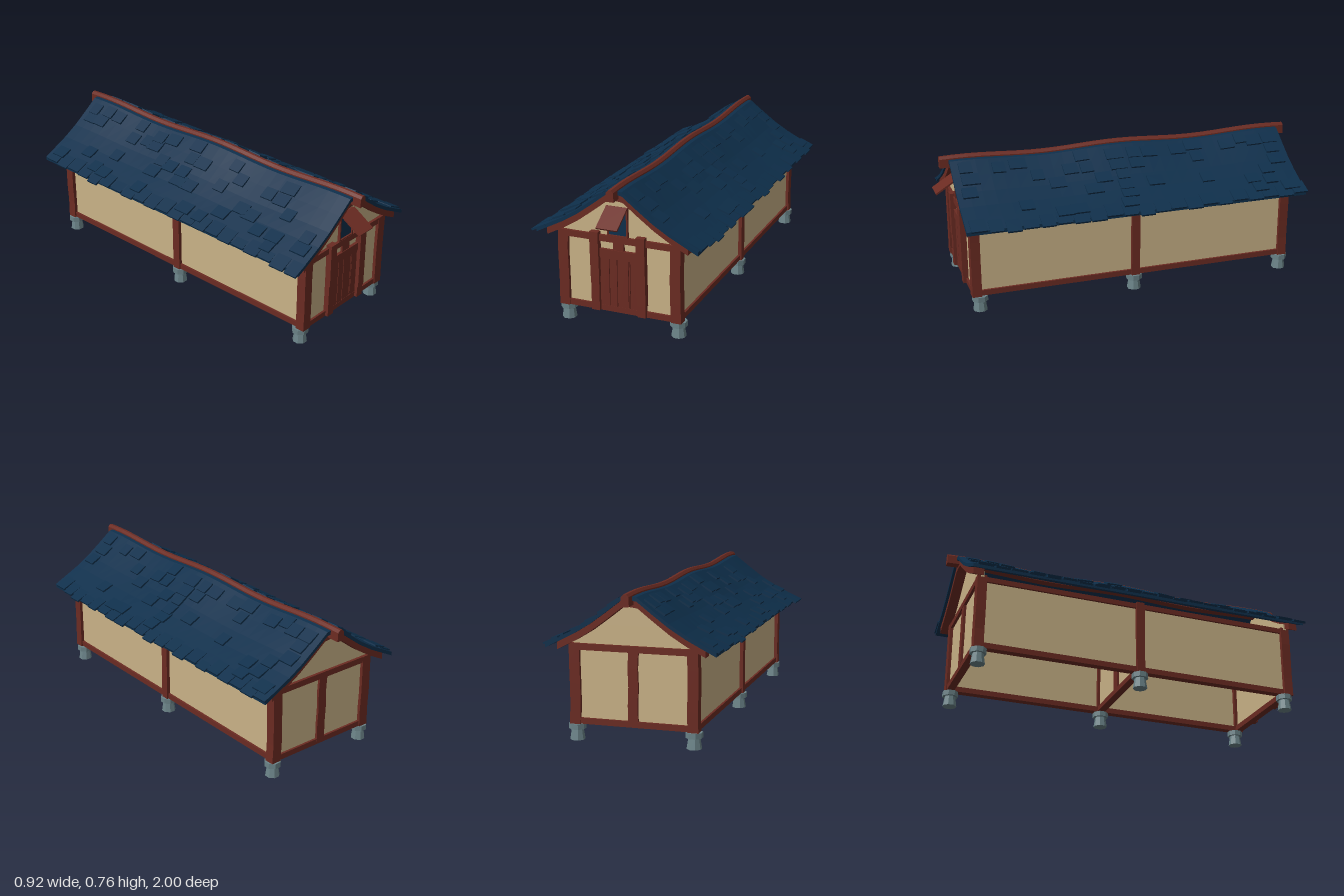
import * as THREE from 'three';
import { mergeGeometries } from 'three/addons/utils/BufferGeometryUtils.js';

const material = (name, color) => {
  const m = new THREE.MeshStandardMaterial({ color, flatShading: true });
  m.name = name;
  return m;
};

// Outer roof curve from ridge to eave, as [x, y]
const ROOF = [[0, 0.74], [0.04, 0.735], [0.12, 0.673], [0.2, 0.614], [0.28, 0.565], [0.35, 0.529], [0.435, 0.486]];
const sag = (z) => 0.008 * (1 - Math.cos((2 * Math.PI * z) / 0.85));

function roofAt(x) {
  let i = 0;
  while (i < ROOF.length - 2 && x > ROOF[i + 1][0]) i++;
  const [x0, y0] = ROOF[i], [x1, y1] = ROOF[i + 1];
  const slope = (y1 - y0) / (x1 - x0);
  return { y: y0 + slope * (x - x0), angle: Math.atan(slope) };
}

// Closed shape between two drops below the roof curve, mirrored over x = 0
function roofBand(top, bottom, reach) {
  const xs = ROOF.map((p) => p[0]).filter((x) => x < reach).concat(reach);
  const side = (drop) => xs.map((x) => new THREE.Vector2(x, roofAt(x).y - drop));
  const flip = (pts) => pts.slice(1).map((p) => new THREE.Vector2(-p.x, p.y));
  const upper = side(top), lower = side(bottom);
  return new THREE.Shape([...flip(upper).reverse(), ...upper, ...lower.reverse(), ...flip(side(bottom))]);
}

function extrude(shape, z0, z1, steps = 1) {
  const g = new THREE.ExtrudeGeometry(shape, { depth: z1 - z0, steps, bevelEnabled: false });
  return g.translate(0, 0, z0);
}

// Lets the ridge line dip gently along its length
function sagGeometry(g) {
  const p = g.attributes.position;
  for (let i = 0; i < p.count; i++) {
    const w = THREE.MathUtils.clamp((p.getY(i) - 0.49) / 0.24, 0, 1);
    p.setY(i, p.getY(i) - sag(p.getZ(i)) * w);
  }
  g.computeVertexNormals();
  return g;
}

export function createModel() {
  const model = new THREE.Group();
  model.name = 'timberHouse';
  const wood = material('redWood', 0x6b2b22);
  const plaster = material('plaster', 0xc9b287);
  const tile = material('blueTile', 0x0e2f4b);
  const stone = material('stone', 0x6a8287);

  let seed = 11;
  const random = () => ((seed = (seed * 16807) % 2147483647) / 2147483647);

  const add = (name, geometry, mat, parent = model) => {
    const m = new THREE.Mesh(geometry, mat);
    m.name = name;
    parent.add(m);
    return m;
  };
  // Box given by its limits on each axis
  const box = (name, mat, x0, x1, y0, y1, z0, z1) => {
    const m = add(name, new THREE.BoxGeometry(x1 - x0, y1 - y0, z1 - z0), mat);
    m.position.set((x0 + x1) / 2, (y0 + y1) / 2, (z0 + z1) / 2);
    return m;
  };
  // Roughly hewn upright post
  const post = (name, x, z, w, d, y0, y1) => {
    const g = new THREE.BoxGeometry(w, y1 - y0, d, 1, 4, 1);
    const p = g.attributes.position;
    const wobble = [0, 1, 2, 3, 4].map(() => (random() - 0.5) * 0.006);
    for (let i = 0; i < p.count; i++) {
      const row = Math.round((p.getY(i) / (y1 - y0) + 0.5) * 4);
      p.setX(i, p.getX(i) + wobble[row]);
    }
    g.computeVertexNormals();
    add(name, g, wood).position.set(x, (y0 + y1) / 2, z);
  };

  // Stone footings and the posts on them
  for (const sx of [-1, 1]) {
    for (const [pz, fz] of [[0.86, 0.842], [-0.008, -0.005], [-0.875, -0.87]]) {
      const footing = new THREE.Group();
      footing.name = 'footing';
      footing.position.set(sx * 0.301, 0, fz);
      model.add(footing);
      const base = add('footingBase', new THREE.CylinderGeometry(0.029, 0.038, 0.056, 8), stone, footing);
      base.position.y = 0.028;
      base.rotation.y = Math.PI / 8;
      const cap = add('footingCap', new THREE.CylinderGeometry(0.043, 0.043, 0.028, 8), stone, footing);
      cap.position.y = 0.069;
      cap.rotation.y = Math.PI / 8;
      post('post', sx * 0.301, pz, 0.054, pz === -0.008 ? 0.045 : 0.05, 0.083, 0.488);
    }
    // Long side walls with sill and wall plate
    const a = sx > 0 ? 1 : -1;
    const span = (n, m, i, o, y0, y1) =>
      box(n, m, Math.min(a * i, a * o), Math.max(a * i, a * o), y0, y1, -0.87, 0.85);
    span('sideWall', plaster, 0.293, 0.309, 0.1, 0.475);
    span('sideSill', wood, 0.28, 0.321, 0.085, 0.114);
    span('wallPlate', wood, 0.28, 0.321, 0.455, 0.482);
  }

  // End walls and middle partition
  for (const [name, z] of [['front', 0.86], ['middle', -0.008], ['back', -0.875]]) {
    box(name + 'Wall', plaster, -0.29, 0.29, 0.1, 0.475, z - 0.008, z + 0.008);
    box(name + 'Sill', wood, -0.29, 0.29, 0.085, 0.115, z - 0.02, z + 0.02);
    box(name + 'Tie', wood, -0.31, 0.31, 0.455, 0.487, z - 0.023, z + 0.023);
    if (name !== 'front') post(name + 'CentrePost', 0, z, 0.05, 0.042, 0.1, 0.47);
  }

  // Plaster gables under the roof curve
  const gable = () => {
    const xs = [0, 0.04, 0.12, 0.2, 0.28, 0.33];
    const right = xs.map((x) => new THREE.Vector2(x, roofAt(x).y - 0.03));
    const left = xs.slice(1).reverse().map((x) => new THREE.Vector2(-x, roofAt(x).y - 0.03));
    return new THREE.Shape([...left, ...right, new THREE.Vector2(0.33, 0.475), new THREE.Vector2(-0.33, 0.475)]);
  };
  add('frontGable', extrude(gable(), 0.852, 0.868), plaster);
  add('backGable', extrude(gable(), -0.883, -0.867), plaster);

  // Curved bargeboards at both ends
  add('frontBargeboard', extrude(roofBand(0.02, 0.057, 0.375), 0.86, 0.908), wood);
  add('backBargeboard', extrude(roofBand(0.02, 0.057, 0.375), -0.935, -0.88), wood);

  // Door with planks, frame posts and lintel
  box('doorPanel', wood, -0.102, 0.102, 0.09, 0.37, 0.86, 0.872);
  for (const [x0, x1] of [[-0.102, -0.054], [-0.05, -0.012], [-0.008, 0.049], [0.053, 0.058], [0.061, 0.102]]) {
    box('doorPlank', wood, x0, x1, 0.087, 0.368, 0.866, 0.879);
  }
  box('doorLintel', wood, -0.102, 0.102, 0.368, 0.415, 0.855, 0.884);
  box('lintelStrut', wood, -0.03, 0.028, 0.41, 0.46, 0.855, 0.88);
  for (const [sx, split] of [[-1, 0.27], [1, 0.15]]) {
    const lower = box('doorPostLower', wood, -0.022, 0.022, 0.087, split, 0.856, 0.896);
    lower.position.x = sx * 0.124;
    const upper = box('doorPostUpper', wood, -0.023, 0.023, split - 0.003, 0.503, 0.856, 0.9);
    upper.position.x = sx * 0.124;
    upper.rotation.z = 0.012;
  }

  // Gable window and propped shutter
  box('windowPane', tile, -0.054, 0.046, 0.49, 0.637, 0.869, 0.874);
  box('windowFrame', wood, -0.06, -0.052, 0.488, 0.64, 0.866, 0.882);
  box('windowFrame', wood, 0.043, 0.051, 0.488, 0.64, 0.866, 0.882);
  box('windowFrame', wood, -0.06, 0.051, 0.632, 0.64, 0.866, 0.882);
  box('windowFrame', wood, -0.06, 0.051, 0.486, 0.494, 0.866, 0.882);
  const shutter = add('shutter', new THREE.BoxGeometry(0.112, 0.009, 0.141), wood);
  shutter.position.set(-0.005, 0.603, 0.938);
  shutter.rotation.x = 0.56;

  // Roof slab
  add('roof', sagGeometry(extrude(roofBand(0, 0.02, 0.43), -0.95, 0.918, 28)), tile);

  // Scattered raised shingles and ragged eave tabs
  const shingles = [];
  const shingle = (sx, x, z, len, wid, lift, tilt) => {
    const { y, angle } = roofAt(x);
    const g = new THREE.BoxGeometry(len, 0.01, wid);
    g.rotateZ(angle + tilt);
    g.translate(x, y + lift, z);
    if (sx < 0) g.rotateY(Math.PI);
    shingles.push(g);
  };
  for (const sx of [-1, 1]) {
    const middle = sx * -0.016;
    for (let row = 0; row < 6; row++) {
      const x = 0.075 + row * 0.058;
      const chance = row < 2 ? 0.6 : 0.32;
      for (let k = 0; k < 20; k++) {
        if (random() > chance) continue;
        const z = -0.86 + k * 0.0905 + (random() - 0.5) * 0.03 + middle;
        shingle(sx, x + random() * 0.02, z, 0.07, 0.065 + random() * 0.03, 0.006, 0.09);
      }
    }
    for (let k = 0; k < 21; k++) {
      const z = -0.9 + k * 0.0885 + middle;
      const out = random() > 0.85 ? 0.018 : (k % 2) * 0.008;
      shingle(sx, 0.4 + out, z, 0.085, 0.07 + random() * 0.016, 0.003 - random() * 0.008, 0.05);
    }
  }
  add('shingles', sagGeometry(mergeGeometries(shingles)), tile);

  // Ridge beam with chamfered top
  const ridge = new THREE.Shape([[-0.021, 0.697], [0.021, 0.697], [0.019, 0.744], [0.007, 0.756], [-0.007, 0.756], [-0.019, 0.744]]
    .map(([x, y]) => new THREE.Vector2(x, y)));
  add('ridgeBeam', sagGeometry(extrude(ridge, -1, 0.965, 28)), wood);

  return model;
}
